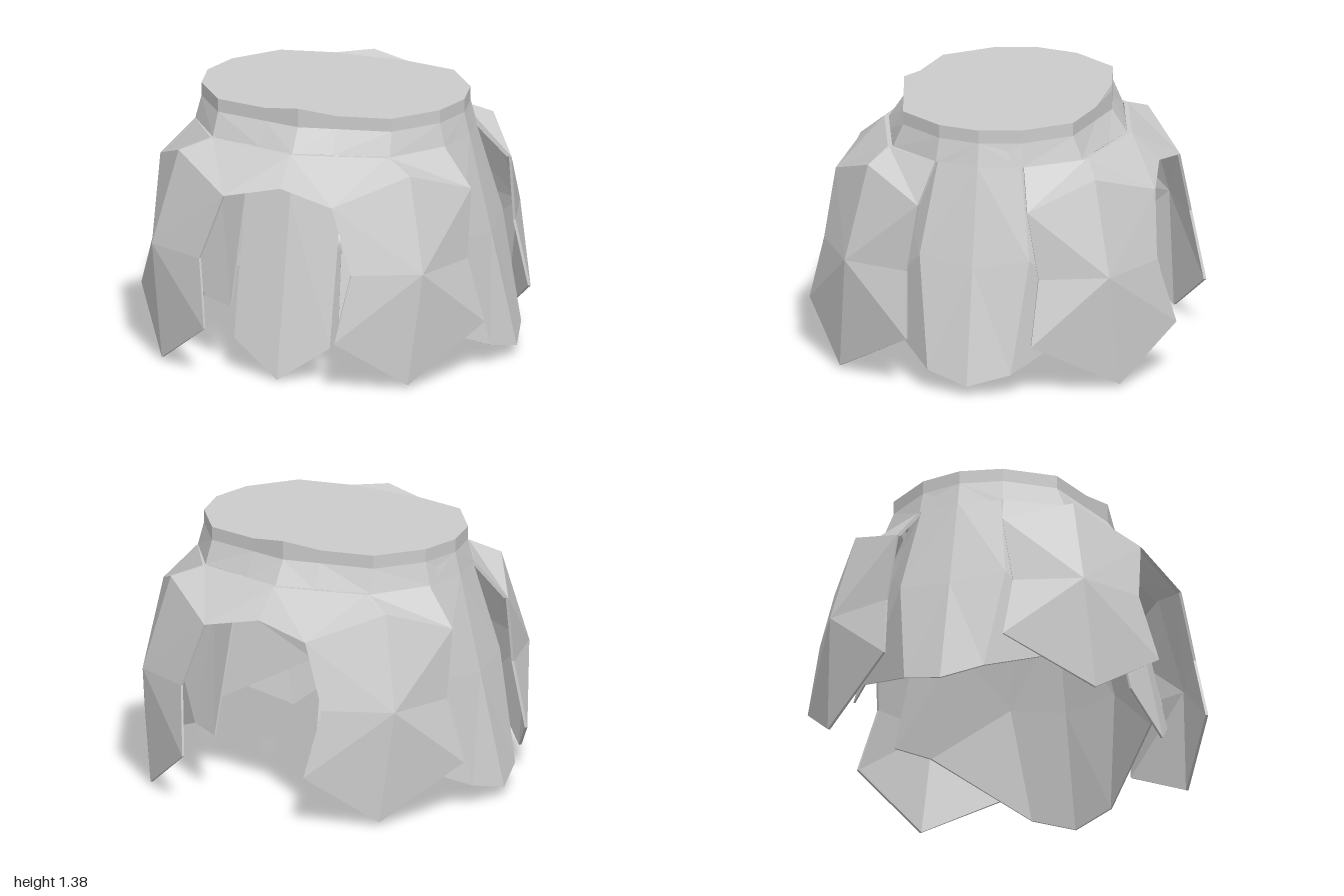
import * as THREE from 'three';

const material = new THREE.MeshStandardMaterial({
  color: 0xcccccc, flatShading: true, side: THREE.DoubleSide,
});

// Triangles for a grid of rows; the diagonals mirror about the middle column.
function grid(rows) {
  const n = rows[0].length, tris = [];
  for (let r = 0; r < rows.length - 1; r++) {
    for (let c = 0; c < n - 1; c++) {
      const a = r * n + c, b = a + 1, d = a + n, e = d + 1;
      if (c < (n - 1) / 2) tris.push([a, b, d], [b, e, d]);
      else tris.push([a, b, e], [a, e, d]);
    }
  }
  return { points: rows.flat(), tris };
}

// Triangles from one centre point to a closed outline.
function fan(center, outline) {
  const n = outline.length;
  return {
    points: [center, ...outline],
    tris: outline.map((_, i) => [0, 1 + i, 1 + (i + 1) % n]),
  };
}

// Faceted plate facing away from the vertical axis, with an optional inner copy and rim.
function plate(name, { points, tris }, thickness = 0, sx = 1, sz = 1) {
  const outer = points.map(([x, y, z]) => new THREE.Vector3(x * sx, y, z * sz));
  const inner = outer.map((p) => {
    const k = 1 - thickness / Math.max(Math.hypot(p.x, p.z), 0.1);
    return new THREE.Vector3(p.x * k, p.y, p.z * k);
  });
  const faces = [], edges = new Map();
  for (const [a, b, c] of tris) {
    const [A, B, C] = [outer[a], outer[b], outer[c]];
    const normal = B.clone().sub(A).cross(C.clone().sub(A));
    const mid = A.clone().add(B).add(C).divideScalar(3).setY(0.5);
    const t = normal.dot(mid) < 0 ? [a, c, b] : [a, b, c];
    faces.push(...t.map((i) => outer[i]));
    if (!thickness) continue;
    faces.push(inner[t[0]], inner[t[2]], inner[t[1]]);
    t.forEach((i, k) => {
      const j = t[(k + 1) % 3];
      if (!edges.delete(j + '_' + i)) edges.set(i + '_' + j, [i, j]);
    });
  }
  for (const [i, j] of edges.values()) {
    faces.push(outer[i], inner[i], outer[j], outer[j], inner[i], inner[j]);
  }
  const geometry = new THREE.BufferGeometry().setFromPoints(faces);
  geometry.computeVertexNormals();
  const mesh = new THREE.Mesh(geometry, material);
  mesh.name = name;
  return mesh;
}

// Mirrors a row in z or x, sharing its centre point.
const mirrorZ = (row) => [...row, ...row.slice(0, -1).reverse().map(([x, y, z]) => [x, y, -z])];
const mirrorX = (row) => [...row.slice(1).reverse().map(([x, y, z]) => [-x, y, z]), ...row];

// Completes a quarter ring (front centre to side) into a closed ring.
function fullRing(quarter) {
  const half = mirrorZ(quarter);
  return [...half, ...half.slice(0, -1).reverse().map(([x, y, z]) => [-x, y, z])];
}

export function createModel() {
  const model = new THREE.Group();
  model.name = 'armouredSkirt';

  // Belt with small peaks at front and back
  const beltTop = [[0, 1.38, 0.55], [0.2, 1.35, 0.508], [0.48, 1.35, 0.45], [0.66, 1.35, 0.22], [0.71, 1.35, 0]];
  const beltMid = [[0, 1.28, 0.55], [0.2, 1.28, 0.508], [0.48, 1.28, 0.45], [0.66, 1.28, 0.22], [0.71, 1.28, 0]];
  const beltLow = [[0, 1.16, 0.63], [0.2, 1.16, 0.577], [0.49, 1.16, 0.5], [0.69, 1.16, 0.23], [0.735, 1.16, 0]];
  model.add(plate('belt', grid([beltTop, beltMid, beltLow].map(fullRing))));

  // Flat lid, sloping up to the two belt peaks
  const lid = fullRing(beltTop).filter(([x]) => x !== 0);
  model.add(plate('lid', fan([0, 1.35, 0], lid)));
  for (const sz of [1, -1]) {
    const slope = { points: [beltTop[0], beltTop[1], [-0.2, 1.35, 0.508]], tris: [[0, 1, 2]] };
    model.add(plate(sz > 0 ? 'frontPeak' : 'backPeak', slope, 0, 1, sz));
  }

  // Hip apron, front and back
  const apronTop = mirrorX([[0, 1.16, 0.655], [0.48, 1.16, 0.53], [0.495, 1.16, 0.52], [0.69, 1.16, 0.235]]);
  const apronLow = mirrorX([[0, 1.02, 0.8], [0.3, 0.96, 0.845], [0.64, 1.1, 0.6], [0.86, 0.97, 0.29]]);
  for (const sz of [1, -1]) {
    model.add(plate(sz > 0 ? 'frontApron' : 'backApron', grid([apronTop, apronLow]), 0.025, 1, sz));
  }

  // Four faceted corner plates
  const corner = fan([0.75, 0.61, 0.7], [
    [0.64, 1.1, 0.6], [0.3, 0.96, 0.845], [0.42, 0.62, 0.88], [0.36, 0.27, 0.97],
    [0.68, 0.015, 0.74], [0.95, 0.27, 0.33], [0.86, 0.61, 0.35], [0.86, 0.97, 0.29],
  ]);
  for (const sx of [1, -1]) {
    for (const sz of [1, -1]) {
      const name = (sz > 0 ? 'front' : 'back') + (sx > 0 ? 'Left' : 'Right') + 'CornerPlate';
      model.add(plate(name, corner, 0.014, sx, sz));
    }
  }

  // Side panels that wrap inward beneath the corner plates
  const sideRows = [
    [[0.26, 1.18, 0.47], [0.43, 1.2, 0.39], [0.655, 1.28, 0.218], [0.71, 1.28, 0]],
    [[0.265, 1.08, 0.55], [0.44, 1.1, 0.41], [0.69, 1.16, 0.22], [0.74, 1.16, 0]],
    [[0.27, 0.93, 0.6], [0.46, 0.92, 0.46], [0.81, 0.69, 0.29], [0.86, 0.65, 0]],
    [[0.3, 0.33, 0.74], [0.49, 0.33, 0.61], [0.94, 0.11, 0.22], [1, 0.05, 0]],
  ].map(mirrorZ);
  for (const sx of [1, -1]) {
    model.add(plate(sx > 0 ? 'leftSidePanel' : 'rightSidePanel', grid(sideRows), 0.01, sx));
  }

  // Pointed flap hanging at the front
  const flapRows = [
    [[0, 1.06, 0.63], [0.265, 1.05, 0.58]],
    [[0, 0.93, 0.66], [0.265, 0.9, 0.62]],
    [[0, 0.0, 0.855], [0.265, 0.18, 0.78]],
  ].map(mirrorX);
  model.add(plate('frontFlap', grid(flapRows), 0.012));

  return model;
}
